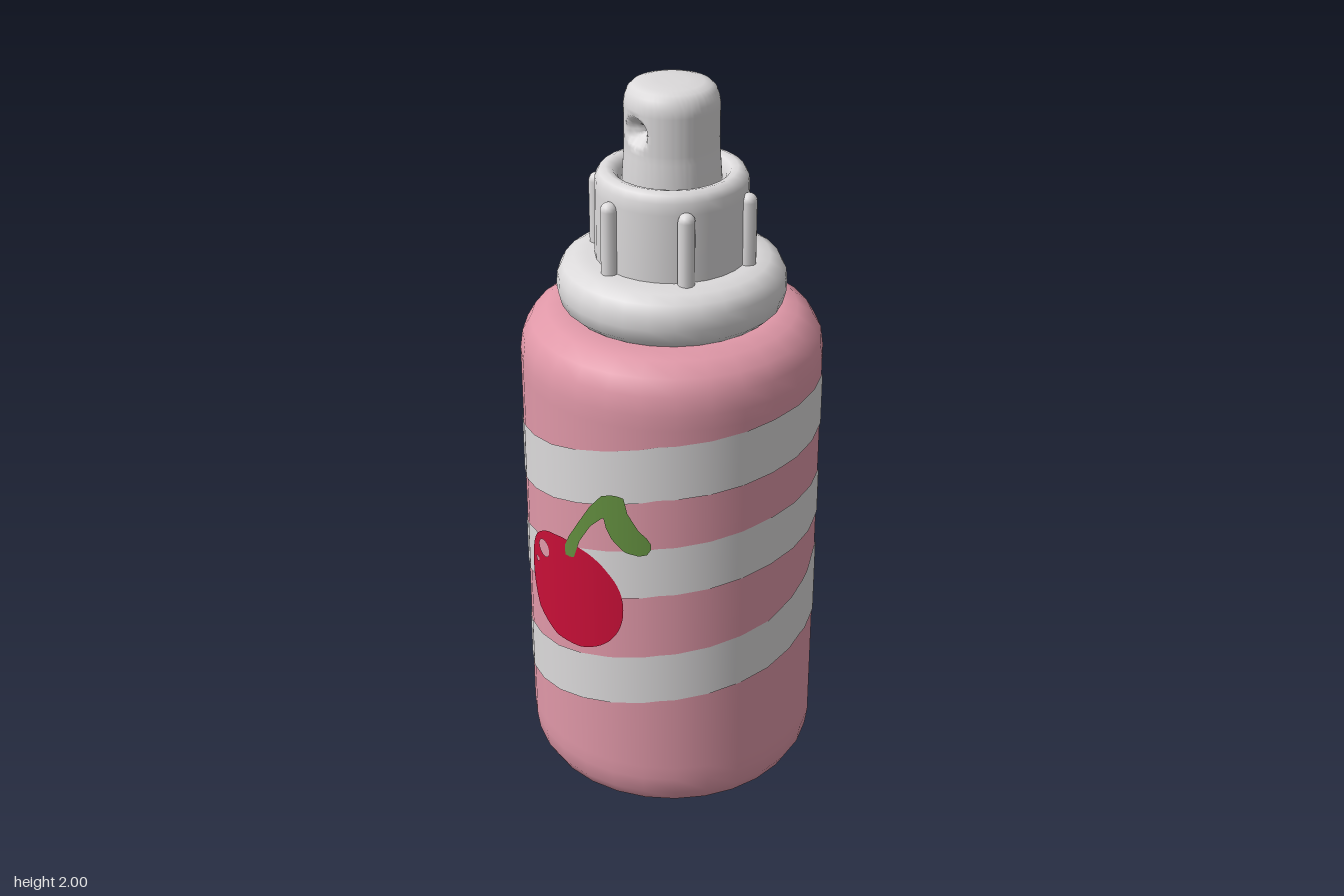
import * as THREE from 'three';
import { toCreasedNormals } from 'three/addons/utils/BufferGeometryUtils.js';

const SIDES = 28;
const RADIUS = 0.4;

function material(name, color) {
  const m = new THREE.MeshStandardMaterial({ color });
  m.name = name;
  return m;
}

function lathe(points, sides = SIDES) {
  return new THREE.LatheGeometry(points.map(([r, y]) => new THREE.Vector2(r, y)), sides, Math.PI / 2);
}

// Painted patch wrapped on the bottle wall; rows are [degrees from front, low y, high y]
function wrapped(rows, lift) {
  const pos = [], nor = [], idx = [];
  const step = (Math.PI * 2) / SIDES;
  const column = (deg, lo, hi) => {
    const a = THREE.MathUtils.degToRad(deg);
    const local = THREE.MathUtils.euclideanModulo(a, step) - step / 2;
    const r = (RADIUS * Math.cos(step / 2)) / Math.cos(local) + lift;
    for (const y of [lo, hi]) {
      pos.push(r * Math.sin(a), y, r * Math.cos(a));
      nor.push(Math.sin(a), 0, Math.cos(a));
    }
  };
  for (let i = 0; i < rows.length - 1; i++) {
    const [p, q] = [rows[i], rows[i + 1]];
    const n = Math.max(1, Math.ceil((q[0] - p[0]) / 1.5));
    for (let k = i ? 1 : 0; k <= n; k++) {
      column(...p.map((v, j) => v + ((q[j] - v) * k) / n));
    }
  }
  for (let i = 0; i + 3 < pos.length / 3; i += 2) idx.push(i, i + 2, i + 1, i + 1, i + 2, i + 3);
  const g = new THREE.BufferGeometry();
  g.setAttribute('position', new THREE.Float32BufferAttribute(pos, 3));
  g.setAttribute('normal', new THREE.Float32BufferAttribute(nor, 3));
  g.setIndex(idx);
  return g;
}

// Rows given by x seen from the front
const fromX = (rows) => rows.map(([x, lo, hi]) =>
  [THREE.MathUtils.radToDeg(Math.asin(x / RADIUS)), lo, hi]);

function ovalRows(cx, cy, rx, ry, power = 2) {
  const rows = [];
  for (let i = 0; i <= 32; i++) {
    const c = -Math.cos((Math.PI * i) / 32);
    const h = ry * Math.pow(Math.max(0, 1 - Math.pow(Math.abs(c), power)), 1 / power);
    rows.push([cx + rx * c, cy - h, cy + h]);
  }
  return fromX(rows);
}

// Spray head with a round dimple pressed into front and back
function nozzleGeometry() {
  const profile = [[0.128, 1.66], [0.127, 1.75], [0.122, 1.82]];
  for (let y = 1.834; y < 1.95; y += 0.007) profile.push([0.121, y]);
  profile.push([0.119, 1.96], [0.112, 1.98], [0.1, 1.992], [0.08, 1.998], [0.04, 2], [0, 2]);
  const g = lathe(profile, 112);
  const p = g.attributes.position;
  for (let i = 0; i < p.count; i++) {
    const d = Math.hypot(p.getX(i), p.getY(i) - 1.89);
    if (d > 0.043) continue;
    const depth = 0.03 * Math.min(1, (0.043 - d) / 0.026) + (d < 0.011 ? 0.02 : 0);
    p.setZ(i, p.getZ(i) - Math.sign(p.getZ(i)) * depth);
  }
  return toCreasedNormals(g, Math.PI / 3.5);
}

export function createModel() {
  const group = new THREE.Group();
  const pink = material('bottlePink', 0xe098a8);
  const white = material('capWhite', 0xdcdadb);
  const red = material('cherryRed', 0xc80f37);
  const green = material('leafGreen', 0x649040);

  const add = (name, geometry, mat) => {
    const mesh = new THREE.Mesh(geometry, mat);
    mesh.name = name;
    group.add(mesh);
    return mesh;
  };

  // Bottle with rounded shoulders and base
  add('bottle', lathe([
    [0, 0], [0.2, 0], [0.28, 0], [0.33, 0.01], [0.37, 0.04], [0.393, 0.08], [RADIUS, 0.13], [RADIUS, 0.17],
    [RADIUS, 1.23], [RADIUS, 1.27], [0.393, 1.32], [0.37, 1.36], [0.33, 1.39], [0.28, 1.4], [0, 1.4],
  ]), pink);

  // Collar, ribbed cap and spray head
  add('collar', lathe([
    [0.24, 1.39], [0.27, 1.4], [0.291, 1.42], [0.3, 1.455], [0.297, 1.49], [0.283, 1.518],
    [0.255, 1.535], [0.22, 1.54], [0.17, 1.54],
  ]), white);
  add('cap', lathe([
    [0.199, 1.52], [0.199, 1.6], [0.198, 1.72], [0.196, 1.75], [0.186, 1.768], [0.168, 1.775],
    [0.15, 1.77], [0.138, 1.755], [0.132, 1.73], [0.13, 1.68], [0.1, 1.67],
  ]), white);
  add('nozzle', nozzleGeometry(), white);
  for (let i = 0; i < 6; i++) {
    const a = (i * Math.PI) / 3;
    const rib = add('capRib', new THREE.CapsuleGeometry(0.022, 0.17, 5, 12), white);
    rib.position.set(Math.sin(a) * 0.205, 1.623, Math.cos(a) * 0.205);
    rib.rotation.y = a;
  }

  // Painted stripes: a single upper turn and a long spiral
  add('upperStripe', wrapped([
    [-157, 0.91, 0.98], [-155, 0.88, 1.02], [-150, 0.87, 1.04], [-90, 0.87, 1.04], [-45, 0.895, 1.065],
    [0, 0.955, 1.115], [45, 1.03, 1.185], [90, 1.06, 1.215], [130, 1.08, 1.23], [146, 1.09, 1.23],
    [149, 1.1, 1.22], [151, 1.12, 1.19],
  ], 0.003), white);
  add('spiralStripe', wrapped([
    [-157, 0.26, 0.34], [-155, 0.23, 0.375], [-150, 0.22, 0.385], [-90, 0.24, 0.41], [-45, 0.28, 0.44],
    [0, 0.335, 0.485], [45, 0.4, 0.55], [90, 0.445, 0.6], [112, 0.475, 0.65], [125, 0.48, 0.7],
    [139, 0.49, 0.75], [160, 0.5, 0.78], [180, 0.52, 0.785], [203, 0.545, 0.77], [220, 0.555, 0.73],
    [240, 0.56, 0.715], [270, 0.57, 0.72], [315, 0.6, 0.75], [360, 0.67, 0.82], [405, 0.74, 0.885],
    [450, 0.78, 0.925], [485, 0.8, 0.94], [492, 0.81, 0.935], [496, 0.84, 0.91],
  ], 0.003), white);

  // Painted cherry with shine, stem and leaf
  add('cherry', wrapped(ovalRows(0.038, 0.683, 0.171, 0.163, 2.2), 0.005), red);
  add('cherryShine', wrapped(ovalRows(-0.053, 0.772, 0.026, 0.026), 0.007), pink);
  add('cherryShineDot', wrapped(ovalRows(-0.09, 0.72, 0.01, 0.008), 0.007), pink);
  add('stem', wrapped(fromX([
    [0.042, 0.8, 0.83], [0.058, 0.8, 0.865], [0.074, 0.805, 0.89], [0.095, 0.865, 0.925],
    [0.127, 0.92, 0.98], [0.16, 0.955, 1.022], [0.18, 0.965, 1.03],
  ]), 0.007), green);
  add('leaf', wrapped(fromX([
    [0.165, 0.96, 1.022], [0.172, 0.93, 1.028], [0.185, 0.9, 1.032], [0.2, 0.882, 1.032], [0.214, 0.868, 1.028],
    [0.222, 0.865, 0.985], [0.245, 0.862, 0.94], [0.262, 0.868, 0.918], [0.27, 0.885, 0.9],
  ]), 0.008), green);

  return group;
}
